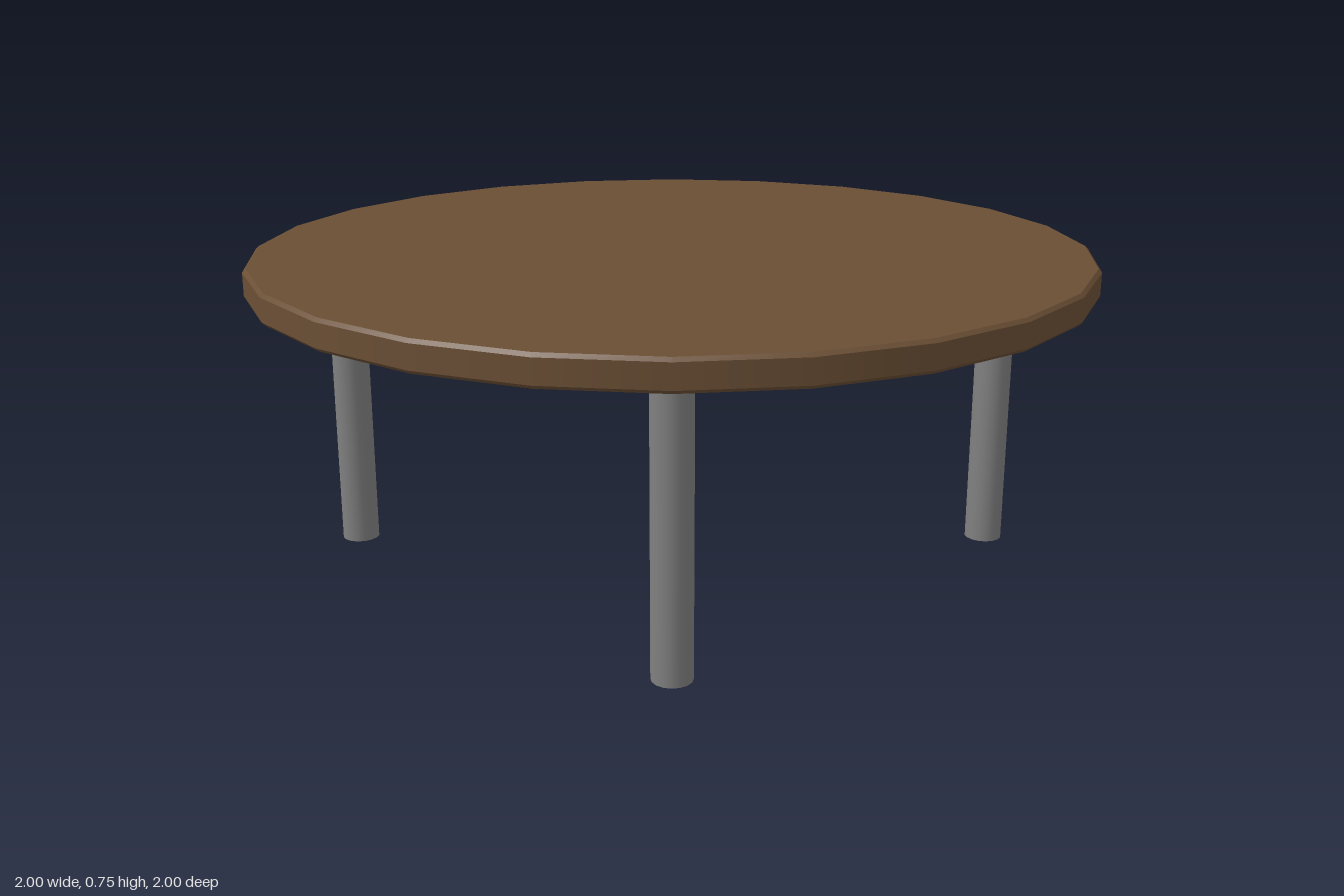
import * as THREE from 'three';

export function createModel() {
  const wood = new THREE.MeshStandardMaterial({ color: 0x6b4f35 });
  wood.name = 'brown wood';
  const metal = new THREE.MeshStandardMaterial({ color: 0x808080 });
  metal.name = 'grey metal';

  const table = new THREE.Group();
  table.name = 'roundTable';
  const add = (name, geometry, material, x, y, z) => {
    const mesh = new THREE.Mesh(geometry, material);
    mesh.name = name;
    mesh.position.set(x, y, z);
    table.add(mesh);
    return mesh;
  };

  const top = 0.745, under = 0.675, bevel = 0.008, sides = 24;
  const legAt = 0.557, legRadius = 0.045;
  const railHeight = 0.053, railWidth = 0.04;

  // Tabletop: a disc with a narrow bevel around both rims
  add('tabletopEdge', new THREE.CylinderGeometry(1, 1, top - under - 2 * bevel, sides, 1, true),
    wood, 0, (top + under) / 2, 0);
  const bevelGeometry = new THREE.CylinderGeometry(1 - bevel, 1, bevel, sides, 1, true);
  const faceGeometry = new THREE.CircleGeometry(1 - bevel, sides);
  add('tabletopUpperBevel', bevelGeometry, wood, 0, top - bevel / 2, 0);
  add('tabletopLowerBevel', bevelGeometry, wood, 0, under + bevel / 2, 0).rotation.x = Math.PI;
  add('tabletopUpperFace', faceGeometry, wood, 0, top, 0).rotation.x = -Math.PI / 2;
  add('tabletopUnderside', faceGeometry, wood, 0, under, 0).rotation.x = Math.PI / 2;

  // Four round legs
  const legGeometry = new THREE.CylinderGeometry(legRadius, legRadius, under, 16);
  for (const [side, sx] of [['Left', 1], ['Right', -1]]) {
    for (const [end, sz] of [['front', 1], ['back', -1]]) {
      add(end + side + 'Leg', legGeometry, metal, sx * legAt, under / 2, sz * legAt);
    }
  }

  // Square frame of rails joining the legs
  const railGeometry = new THREE.BoxGeometry(2 * legAt, railHeight, railWidth);
  ['front', 'left', 'back', 'right'].forEach((side, i) => {
    const a = i * Math.PI / 2;
    add(side + 'Rail', railGeometry, metal,
      Math.sin(a) * legAt, under - railHeight / 2, Math.cos(a) * legAt).rotation.y = a;
  });

  return table;
}
